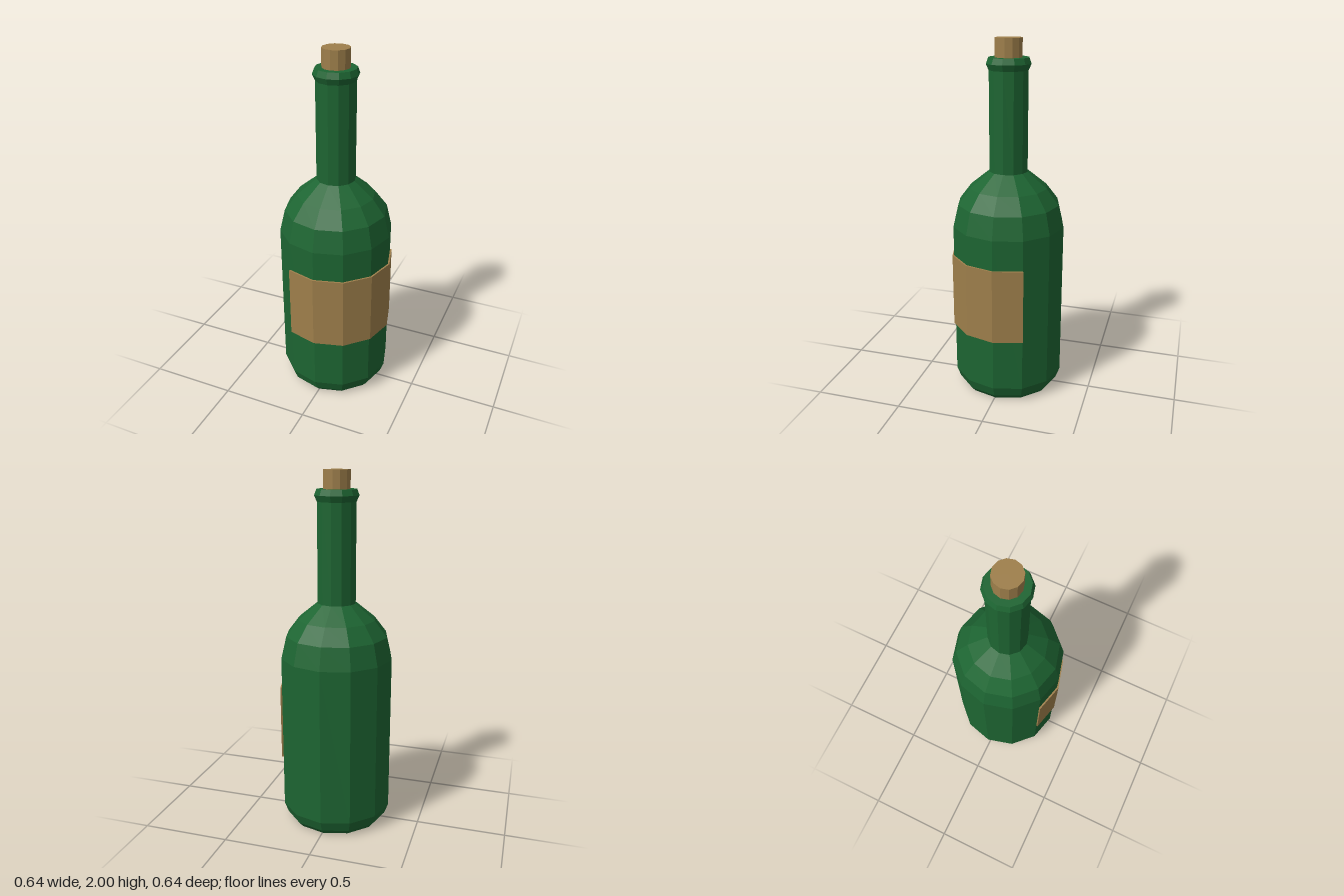
import * as THREE from 'three';

const SIDES = 12;

function mat(color) {
  return new THREE.MeshStandardMaterial({ color, flatShading: true });
}

function lathe(name, profile, material) {
  const points = profile.map(([r, y]) => new THREE.Vector2(r, y));
  const mesh = new THREE.Mesh(new THREE.LatheGeometry(points, SIDES), material);
  mesh.name = name;
  return mesh;
}

// Closed band wrapped round part of the body, with the same facets
function wrapLabel(inner, outer, bottom, top, firstFacet, facets, material) {
  const arc = (r) => Array.from({ length: facets + 1 }, (_, i) => {
    const a = ((firstFacet + i) / SIDES) * Math.PI * 2;
    return new THREE.Vector2(r * Math.sin(a), -r * Math.cos(a));
  });
  const shape = new THREE.Shape([...arc(outer), ...arc(inner).reverse()]);
  const geometry = new THREE.ExtrudeGeometry(shape, { depth: top - bottom, bevelEnabled: false });
  geometry.rotateX(-Math.PI / 2).translate(0, bottom, 0);
  const mesh = new THREE.Mesh(geometry, material);
  mesh.name = 'label';
  return mesh;
}

export function createModel() {
  const glass = mat(0x1d6532);
  const tan = mat(0x9e7f4b);
  const group = new THREE.Group();
  group.name = 'bottle';

  // Glass: rounded foot, straight body, shoulder
  group.add(lathe('body', [
    [0, 0], [0.27, 0], [0.295, 0.03], [0.317, 0.09], [0.317, 0.985],
    [0.287, 1.11], [0.218, 1.2], [0.108, 1.29],
  ], glass));
  group.add(lathe('neck', [[0.108, 1.29], [0.108, 1.84]], glass));
  group.add(lathe('lip', [
    [0.108, 1.835], [0.123, 1.868], [0.111, 1.9], [0, 1.9],
  ], glass));

  // Stopper and label
  group.add(lathe('cork', [[0.075, 1.88], [0.075, 2], [0, 2]], tan));
  group.add(wrapLabel(0.312, 0.327, 0.39, 0.815, -1, 5, tan));

  // The label sticks out on two sides, so the bottle sits slightly off centre
  group.children.forEach((part) => part.position.set(-0.005, 0, -0.005));
  return group;
}
